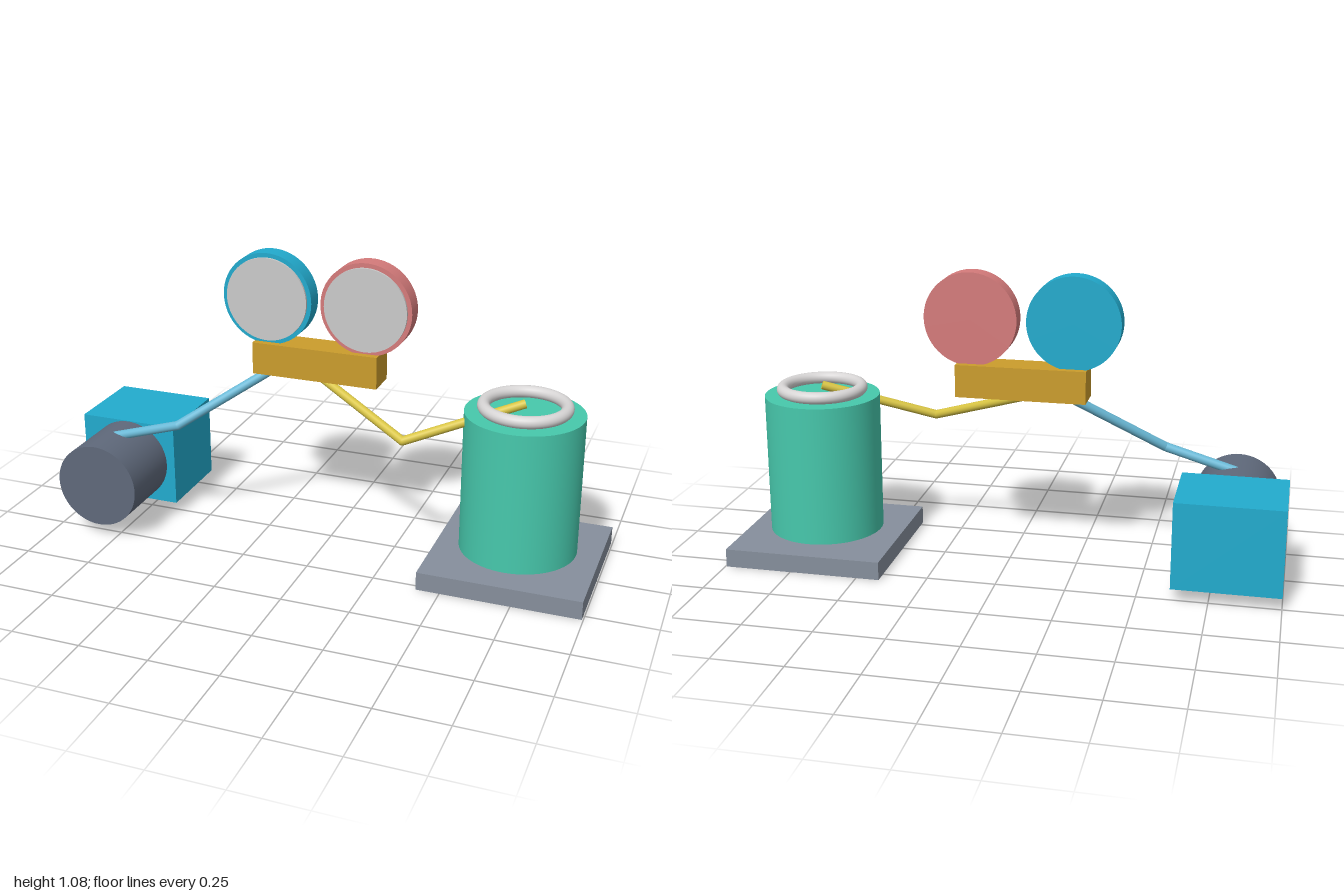
import * as THREE from 'three';

const mat = (name, color) => {
  const m = new THREE.MeshStandardMaterial({ color });
  m.name = name;
  return m;
};

export function createModel() {
  const blue = mat('blue', 0x22abce);
  const slate = mat('slate', 0x5f697b);
  const paleBlue = mat('paleBlue', 0x6ab9d6);
  const yellow = mat('yellow', 0xd8c443);
  const gold = mat('gold', 0xcb9d2c);
  const coral = mat('coral', 0xd57b7b);
  const dialGrey = mat('dialGrey', 0xcacaca);
  const green = mat('green', 0x47c8ac);
  const silver = mat('silver', 0xd6d4d4);
  const steel = mat('steel', 0x868f9c);

  const model = new THREE.Group();
  model.name = 'gaugeManifold';
  const midZ = -0.014;

  const add = (name, geometry, material, x, y, z, parent = model) => {
    const mesh = new THREE.Mesh(geometry, material);
    mesh.name = name;
    mesh.position.set(x, y, z);
    parent.add(mesh);
    return mesh;
  };
  const box = (name, w, h, d, material, x, y, z) =>
    add(name, new THREE.BoxGeometry(w, h, d), material, x, y, z);
  // cylinder whose axis runs front to back
  const disc = (name, r, depth, material, x, y, z, parent) =>
    add(name, new THREE.CylinderGeometry(r, r, depth, 64).rotateX(Math.PI / 2), material, x, y, z, parent);

  // pump: box body with a motor drum on its front
  box('pumpBody', 0.38, 0.315, 0.32, blue, -0.81, 0.2085, -0.115);
  disc('pumpMotor', 0.157, 0.26, slate, -0.81, 0.207, 0.175);

  // tank standing just above the scale plate, with a ring handle
  box('scalePlate', 0.58, 0.067, 0.58, steel, 0.705, 0.0335, midZ);
  add('tank', new THREE.CylinderGeometry(0.21, 0.21, 0.515, 64), green, 0.705, 0.3385, midZ);
  add('tankRing', new THREE.TorusGeometry(0.144, 0.022, 20, 64).rotateX(Math.PI / 2),
    silver, 0.705, 0.618, midZ);

  // manifold bar carrying two gauges
  box('manifoldBar', 0.47, 0.118, 0.118, gold, -0.05, 0.689, midZ);
  const gauge = (name, x, material) => {
    const g = new THREE.Group();
    g.name = name;
    g.position.set(x, 0.909, 0);
    model.add(g);
    disc(name + 'Case', 0.168, 0.067, material, 0, 0, -0.0135, g);
    disc(name + 'Dial', 0.152, 0.009, dialGrey, 0, 0, 0.0245, g);
  };
  gauge('lowGauge', -0.235, blue);
  gauge('highGauge', 0.135, coral);

  // hoses: straight runs with a rounded elbow
  const hose = (name, material, r, coords) => {
    const g = new THREE.Group();
    g.name = name;
    model.add(g);
    const pts = coords.map(p => new THREE.Vector3(...p));
    for (let i = 0; i < pts.length - 1; i++) {
      const dir = pts[i + 1].clone().sub(pts[i]);
      const mid = pts[i].clone().add(pts[i + 1]).multiplyScalar(0.5);
      const run = add(name + 'Run', new THREE.CylinderGeometry(r, r, dir.length(), 20),
        material, mid.x, mid.y, mid.z, g);
      run.quaternion.setFromUnitVectors(new THREE.Vector3(0, 1, 0), dir.normalize());
      if (i > 0) add(name + 'Elbow', new THREE.SphereGeometry(r, 20, 12),
        material, pts[i].x, pts[i].y, pts[i].z, g);
    }
  };
  hose('pumpHose', paleBlue, 0.017, [[-0.235, 0.63, midZ], [-0.547, 0.426, 0.146], [-0.81, 0.347, 0.152]]);
  hose('tankHose', yellow, 0.016, [[-0.05, 0.63, midZ], [0.315, 0.494, 0.143], [0.705, 0.628, midZ]]);

  return model;
}
